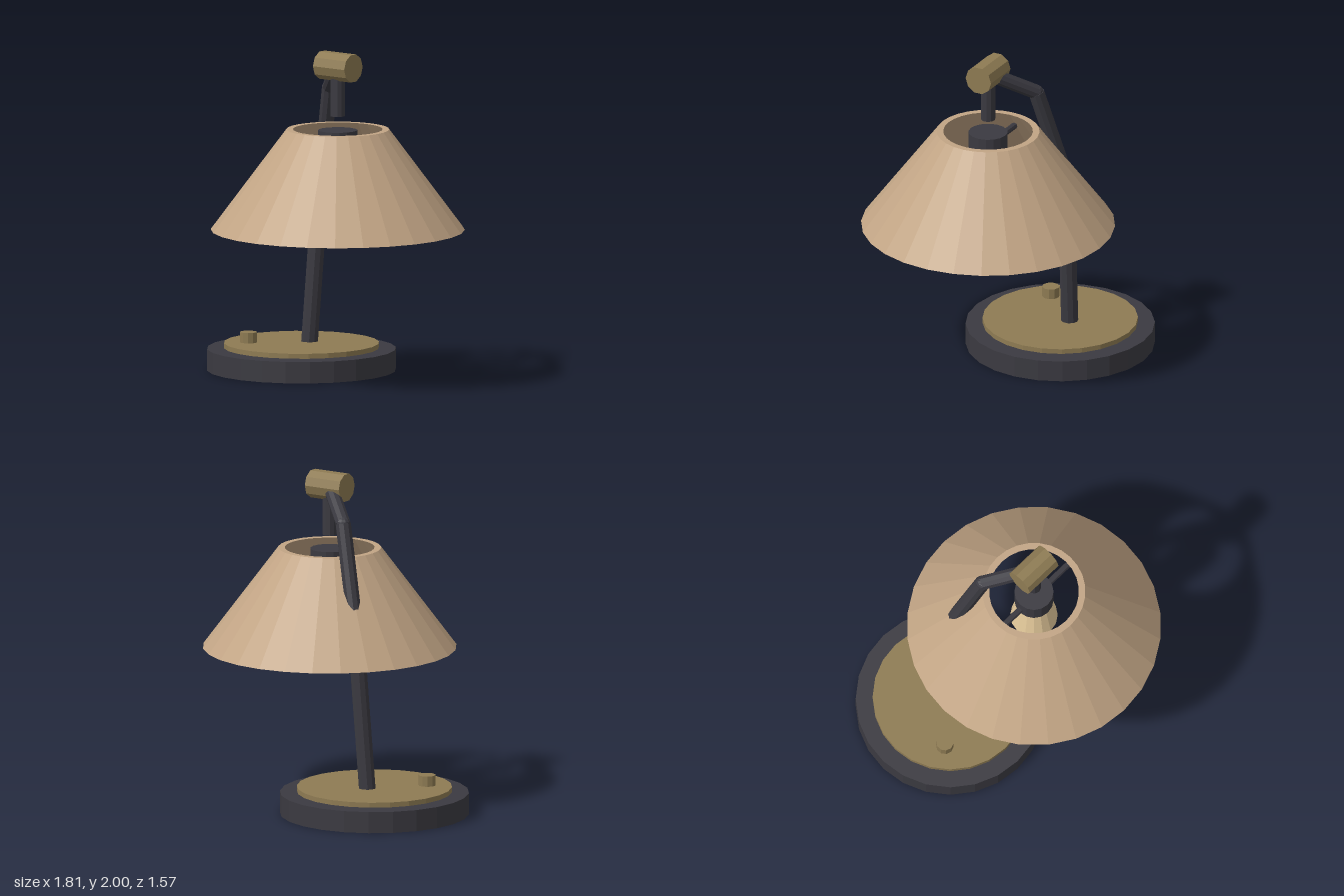
import * as THREE from 'three';

const flat = (name, color) => {
  const m = new THREE.MeshStandardMaterial({ color, flatShading: true });
  m.name = name;
  return m;
};

export function createModel() {
  const lamp = new THREE.Group();
  lamp.name = 'deskLamp';

  const darkMetal = flat('darkMetal', 0x3b3a41);
  const brass = flat('brass', 0x8e7b53);
  const fabric = flat('shadeFabric', 0xc2a585);
  const glow = flat('bulbCream', 0xe6cb9c);

  const add = (name, geometry, material, x = 0, y = 0, z = 0) => {
    const mesh = new THREE.Mesh(geometry, material);
    mesh.name = name;
    mesh.position.set(x, y, z);
    lamp.add(mesh);
    return mesh;
  };

  // Upright cylinder given by its bottom and top heights
  const disc = (name, material, x, z, y0, y1, rBottom, rTop, sides) =>
    add(name, new THREE.CylinderGeometry(rTop, rBottom, y1 - y0, sides), material, x, (y0 + y1) / 2, z);

  // Straight rod between two points
  const rod = (name, material, a, b, radius, sides) => {
    const dir = b.clone().sub(a);
    const mesh = add(name, new THREE.CylinderGeometry(radius, radius, dir.length(), sides), material);
    mesh.position.copy(a).add(b).multiplyScalar(0.5);
    mesh.quaternion.setFromUnitVectors(new THREE.Vector3(0, 1, 0), dir.normalize());
    return mesh;
  };

  // Base, brass plate and switch knob
  const bx = -0.34, bz = -0.215;
  disc('base', darkMetal, bx, bz, 0, 0.13, 0.57, 0.57, 24);
  disc('basePlate', brass, bx, bz, 0.135, 0.165, 0.468, 0.468, 24);
  disc('switchKnob', brass, -0.588, -0.015, 0.165, 0.228, 0.053, 0.053, 10);

  // Bent arm: three rods with rounded elbows
  const hx = 0.138, hz = 0.018;
  const path = [
    [-0.337, 0.12, -0.283],
    [-0.259, 1.137, -0.298],
    [-0.095, 1.745, -0.185],
    [hx, 1.915, hz],
  ].map((p) => new THREE.Vector3(...p));
  const radii = [0.052, 0.048, 0.045];
  radii.forEach((r, i) => {
    rod('armSection' + (i + 1), darkMetal, path[i], path[i + 1], r, 10);
    if (i > 0) {
      const p = path[i];
      add('elbow' + i, new THREE.SphereGeometry(r, 10, 8), darkMetal, p.x, p.y, p.z);
    }
  });

  // Pivot head and hanging stem
  const head = add('pivotHead', new THREE.CylinderGeometry(0.087, 0.087, 0.245, 10), brass, hx, 1.916, hz);
  head.rotation.z = Math.PI / 2;
  disc('stem', darkMetal, hx, hz, 1.615, 1.88, 0.044, 0.044, 10);

  // Conical shade with wall thickness
  const profile = [
    [0.765, 0.925], [0.31, 1.535], [0.27, 1.535], [0.735, 0.925], [0.765, 0.925],
  ].map(([r, y]) => new THREE.Vector2(r, y));
  add('shade', new THREE.LatheGeometry(profile, 28), fabric, hx, 0, hz);

  // Socket, shade support bar and bulb
  disc('socket', darkMetal, hx, hz, 1.39, 1.53, 0.118, 0.118, 16);
  rod('supportBar', darkMetal, new THREE.Vector3(hx - 0.33, 1.44, hz), new THREE.Vector3(hx + 0.33, 1.44, hz), 0.02, 8);
  disc('bulb', glow, hx, hz, 1.12, 1.4, 0.143, 0.1, 16);

  return lamp;
}
